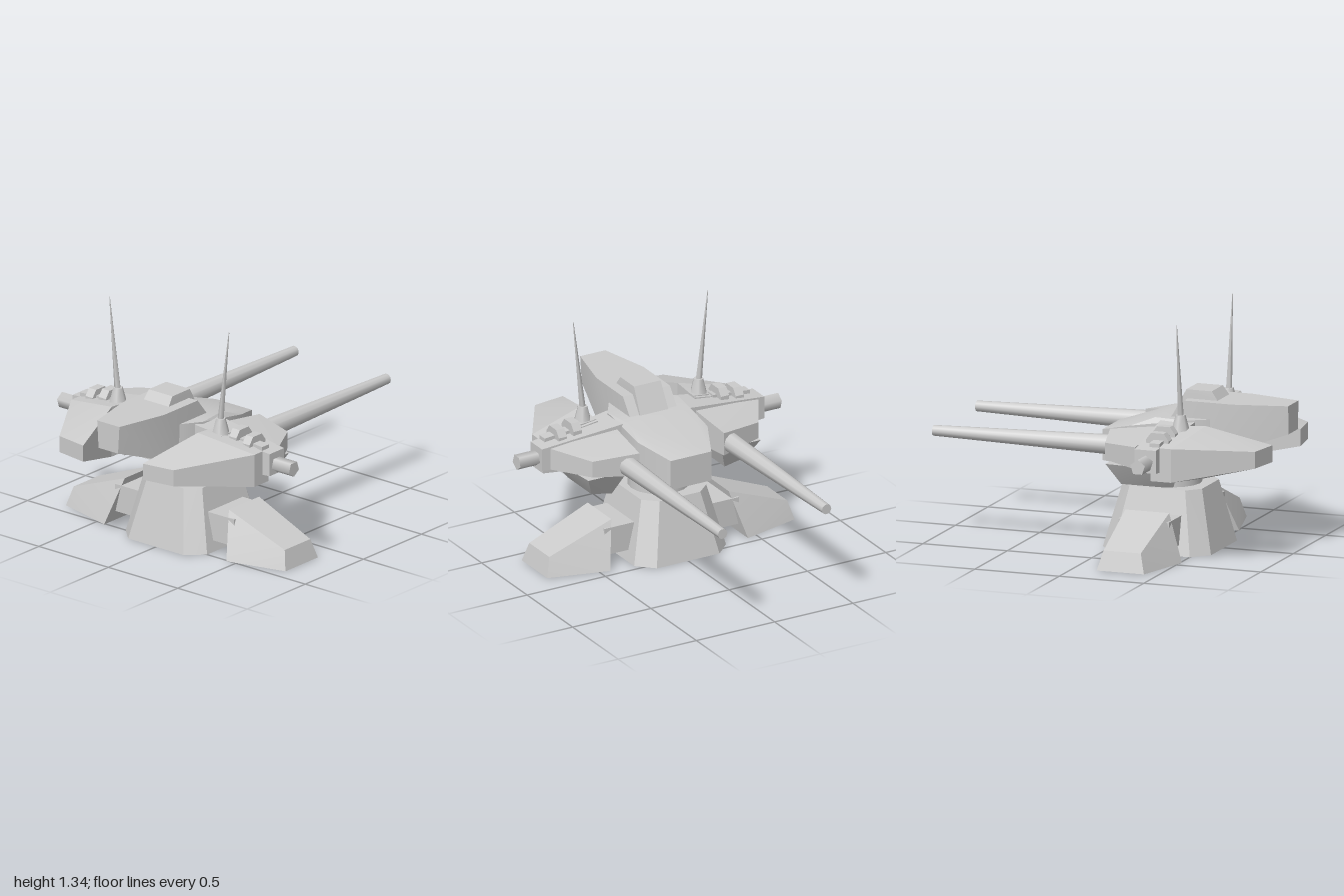
import * as THREE from 'three';
import { ConvexGeometry } from 'three/addons/geometries/ConvexGeometry.js';
import { toCreasedNormals } from 'three/addons/utils/BufferGeometryUtils.js';

const material = new THREE.MeshStandardMaterial({ color: 0xcccccc });
const V = (x, y, z) => new THREE.Vector3(x, y, z);

function add(group, name, geometry) {
  const mesh = new THREE.Mesh(geometry, material);
  mesh.name = name;
  group.add(mesh);
  return mesh;
}

// Faceted plate: hull around corner points, only sharp edges stay creased
function hull(group, name, points, s = 1) {
  const geo = new ConvexGeometry(points.map(([x, y, z]) => V(x, y, z * s)));
  return add(group, name, toCreasedNormals(geo, 0.6));
}

// Post corners: [x, z, lowY, highY] gives a lower and an upper point
const posts = (list) => list.flatMap(([x, z, lo, hi]) => [[x, lo, z], [x, hi, z]]);

// Points repeated on both sides of the centre plane
const both = (points) => points.flatMap(([x, y, z]) => [[x, y, z], [x, y, -z]]);

// Tapered rod from a to b
function rod(group, name, a, b, ra, rb, sides) {
  const dir = b.clone().sub(a);
  const mesh = add(group, name, new THREE.CylinderGeometry(rb, ra, dir.length(), sides));
  mesh.position.copy(a).addScaledVector(dir, 0.5);
  mesh.quaternion.setFromUnitVectors(V(0, 1, 0), dir.normalize());
}

function addFoot(group, s) {
  hull(group, 'footStrut', posts([
    [-0.43, 0.2, 0.06, 0.22], [-0.13, 0.2, 0.06, 0.22],
    [-0.43, 0.43, 0.06, 0.22], [-0.13, 0.43, 0.06, 0.22]]), s);
  hull(group, 'foot', [
    [-0.41, 0.26, 0.375], [-0.15, 0.26, 0.375],
    [-0.51, 0, 0.44], [-0.05, 0, 0.44],
    [-0.39, 0.11, 0.76], [-0.17, 0.11, 0.76],
    [-0.42, 0, 0.79], [-0.14, 0, 0.79]], s);
}

function addPod(group, s) {
  // Armour shells
  hull(group, 'podBand', posts([
    [-0.46, 0.71, 0.555, 0.685], [-0.335, 0.71, 0.555, 0.685],
    [-0.295, 0.2, 0.525, 0.745], [-0.495, 0.2, 0.525, 0.745]]), s);
  hull(group, 'podRearBlock', posts([
    [-0.41, 0.31, 0.46, 0.74], [-0.6, 0.31, 0.46, 0.755],
    [-0.41, 0.66, 0.5, 0.69], [-0.53, 0.66, 0.5, 0.69]]), s);
  hull(group, 'podTail', posts([
    [-0.6, 0.31, 0.46, 0.755], [-0.53, 0.66, 0.5, 0.69],
    [-0.96, 0.215, 0.56, 0.655], [-0.93, 0.41, 0.56, 0.655]]), s);
  hull(group, 'podNose', posts([
    [-0.32, 0.25, 0.53, 0.72], [-0.32, 0.665, 0.56, 0.685],
    [-0.02, 0.27, 0.55, 0.685], [-0.09, 0.53, 0.57, 0.665]]), s);
  hull(group, 'podKeel', [
    [-0.45, 0.55, 0.3], [-0.45, 0.55, 0.58], [-0.1, 0.55, 0.3], [-0.1, 0.55, 0.55],
    [-0.43, 0.405, 0.36], [-0.43, 0.43, 0.49],
    [-0.17, 0.405, 0.36], [-0.17, 0.43, 0.49]], s);

  // Gun barrel and side stub
  rod(group, 'gunBarrel', V(-0.12, 0.61, 0.325 * s), V(1, 0.607, 0.332 * s), 0.058, 0.03, 10);
  rod(group, 'sideStub', V(-0.4, 0.61, 0.6 * s), V(-0.4, 0.61, 0.835 * s), 0.045, 0.045, 5);

  // Antenna on its mount
  hull(group, 'antennaMount', posts([
    [-0.535, 0.31, 0.68, 0.745], [-0.425, 0.31, 0.68, 0.745],
    [-0.535, 0.41, 0.68, 0.735], [-0.425, 0.41, 0.68, 0.735]]), s);
  rod(group, 'antennaBase', V(-0.475, 0.73, 0.37 * s), V(-0.475, 0.82, 0.37 * s), 0.052, 0.028, 6);
  rod(group, 'antenna', V(-0.475, 0.8, 0.37 * s), V(-0.475, 1.34, 0.43 * s), 0.019, 0.002, 5);

  // Chamfered lugs along the band
  for (const [z, top] of [[0.47, 0.775], [0.565, 0.757]]) {
    const points = [];
    for (const dz of [-0.026, 0.026]) {
      points.push([-0.49, 0.66, z + dz], [-0.355, 0.66, z + dz],
        [-0.49, top - 0.04, z + dz], [-0.355, top - 0.04, z + dz],
        [-0.46, top, z + dz], [-0.385, top, z + dz]);
    }
    hull(group, 'podLug', points, s);
  }
  hull(group, 'lugRail', posts([
    [-0.46, 0.42, 0.66, 0.735], [-0.4, 0.42, 0.66, 0.735],
    [-0.46, 0.655, 0.66, 0.713], [-0.4, 0.655, 0.66, 0.713]]), s);
}

export function createModel() {
  const model = new THREE.Group();
  model.name = 'gunTurret';

  // Pedestal and neck
  hull(model, 'pedestal', both([
    [-0.59, 0, 0.2], [-0.5, 0, 0.293], [-0.04, 0, 0.293], [0.05, 0, 0.2],
    [-0.51, 0.355, 0.13], [-0.44, 0.355, 0.208], [-0.11, 0.355, 0.208], [-0.04, 0.355, 0.13]]));
  rod(model, 'neck', V(-0.275, 0.34, 0), V(-0.275, 0.5, 0), 0.175, 0.175, 16);

  // Turret body with tapered nose
  hull(model, 'turretBody', both(posts([
    [-0.58, 0.14, 0.5, 0.755], [-0.45, 0.225, 0.475, 0.755],
    [-0.12, 0.222, 0.475, 0.70], [-0.26, 0.2, 0.47, 0.755],
    [0.08, 0.13, 0.47, 0.645]])));

  // Rear housing and roof hatch
  hull(model, 'rearHousing', both([
    [-1, 0.69, 0.07], [-1, 0.85, 0.08], [-0.7, 0.85, 0.15],
    [-0.41, 0.85, 0.15], [-0.33, 0.75, 0.15],
    [-0.7, 0.58, 0.14], [-0.41, 0.55, 0.15]]));
  hull(model, 'roofHatch', both([
    [-0.59, 0.845, 0.09], [-0.55, 0.9, 0.085], [-0.4, 0.9, 0.085],
    [-0.32, 0.75, 0.09], [-0.59, 0.75, 0.09]]));

  for (const s of [1, -1]) {
    const side = new THREE.Group();
    side.name = s > 0 ? 'frontSide' : 'backSide';
    addFoot(side, s);
    addPod(side, s);
    model.add(side);
  }
  return model;
}
